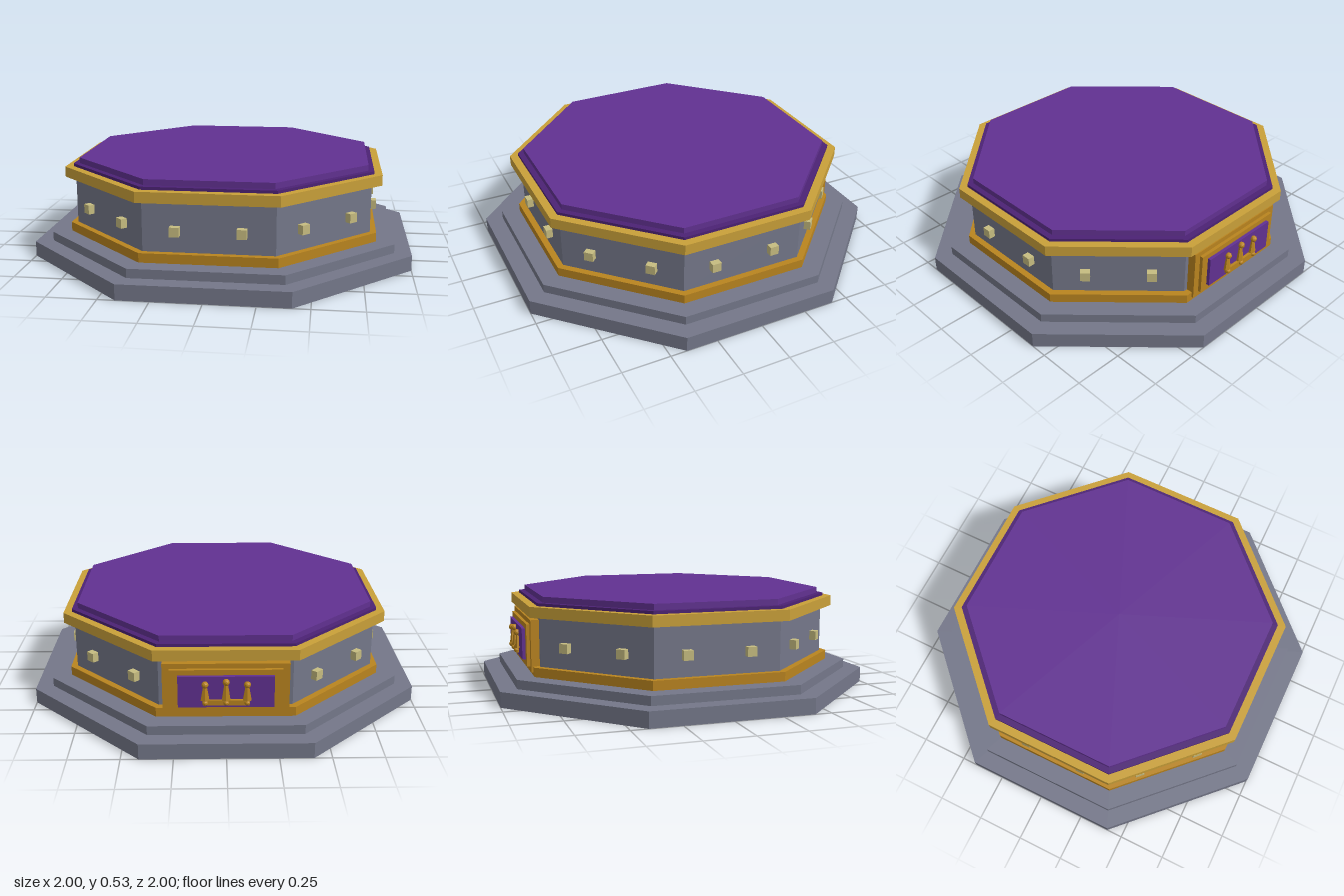
import * as THREE from 'three';

const material = (name, color) => {
  const m = new THREE.MeshStandardMaterial({ color });
  m.name = name;
  return m;
};

export function createModel() {
  const stone = material('stone', 0x747789);
  const gold = material('gold', 0xc9a039);
  const darkGold = material('dark gold', 0xb9841f);
  const purple = material('purple', 0x613191);
  const darkPurple = material('dark purple', 0x4c2274);
  const pale = material('pale brass', 0xc6bc80);

  const model = new THREE.Group();
  model.name = 'octagonalDais';

  const add = (parent, name, geometry, mat, x = 0, y = 0, z = 0) => {
    const mesh = new THREE.Mesh(geometry, mat);
    mesh.name = name;
    mesh.position.set(x, y, z);
    parent.add(mesh);
    return mesh;
  };

  // Facet normals for a crisp low-poly look
  const faceted = (geometry) => {
    const g = geometry.index ? geometry.toNonIndexed() : geometry;
    g.computeVertexNormals();
    return g;
  };

  // Octagonal slab measured from centre to flat side
  const slab = (name, apothem, y0, y1, mat) => {
    const r = apothem / Math.cos(Math.PI / 8);
    const g = new THREE.CylinderGeometry(r, r, y1 - y0, 8, 1, false, Math.PI / 8);
    add(model, name, faceted(g), mat, 0, (y0 + y1) / 2, 0);
  };
  slab('baseStep', 1, 0, 0.08, stone);
  slab('upperStep', 0.912, 0.08, 0.127, stone);
  slab('lowerTrim', 0.818, 0.127, 0.175, darkGold);
  slab('wall', 0.785, 0.175, 0.43, stone);
  slab('upperTrim', 0.837, 0.43, 0.485, gold);
  slab('carpetBorder', 0.795, 0.485, 0.5, darkPurple);
  slab('carpet', 0.765, 0.5, 0.53, purple);

  // Two studs on every wall face except the back
  for (let i = 0; i < 8; i++) {
    if (i === 4) continue;
    const side = new THREE.Group();
    side.name = 'wallStuds';
    side.rotation.y = (i * Math.PI) / 4;
    model.add(side);
    for (const x of [-0.163, 0.163]) {
      add(side, 'stud', new THREE.BoxGeometry(0.048, 0.048, 0.048), pale, x, 0.285, 0.795);
    }
  }

  // Back plaque: stepped frame, panel and crown, built facing +z then turned round
  const plaque = new THREE.Group();
  plaque.name = 'backPlaque';
  plaque.rotation.y = Math.PI;
  model.add(plaque);
  const plate = (name, w, y0, y1, z0, z1, mat) =>
    add(plaque, name, new THREE.BoxGeometry(w, y1 - y0, z1 - z0), mat, 0, (y0 + y1) / 2, (z0 + z1) / 2);
  plate('frameBack', 0.61, 0.145, 0.412, 0.78, 0.828, darkGold);
  plate('frameFront', 0.54, 0.17, 0.387, 0.828, 0.845, darkGold);
  plate('panel', 0.46, 0.2, 0.36, 0.845, 0.862, purple);

  const crown = new THREE.Group();
  crown.name = 'crown';
  plaque.add(crown);
  add(crown, 'crownBand', new THREE.BoxGeometry(0.22, 0.026, 0.016), darkGold, 0, 0.229, 0.868);
  for (const x of [-0.1, 0, 0.1]) {
    const tip = x === 0 ? 0.335 : 0.322;
    const h = tip - 0.24;
    const spike = faceted(new THREE.CylinderGeometry(0.008, 0.024, h, 6));
    add(crown, 'crownSpike', spike, darkGold, x, 0.24 + h / 2, 0.866).scale.z = 0.7;
    add(crown, 'crownBall', faceted(new THREE.IcosahedronGeometry(0.017, 1)), darkGold, x, tip, 0.87);
    add(crown, 'bandJewel', faceted(new THREE.IcosahedronGeometry(0.014, 1)), darkGold, x, 0.229, 0.874);
  }
  return model;
}
